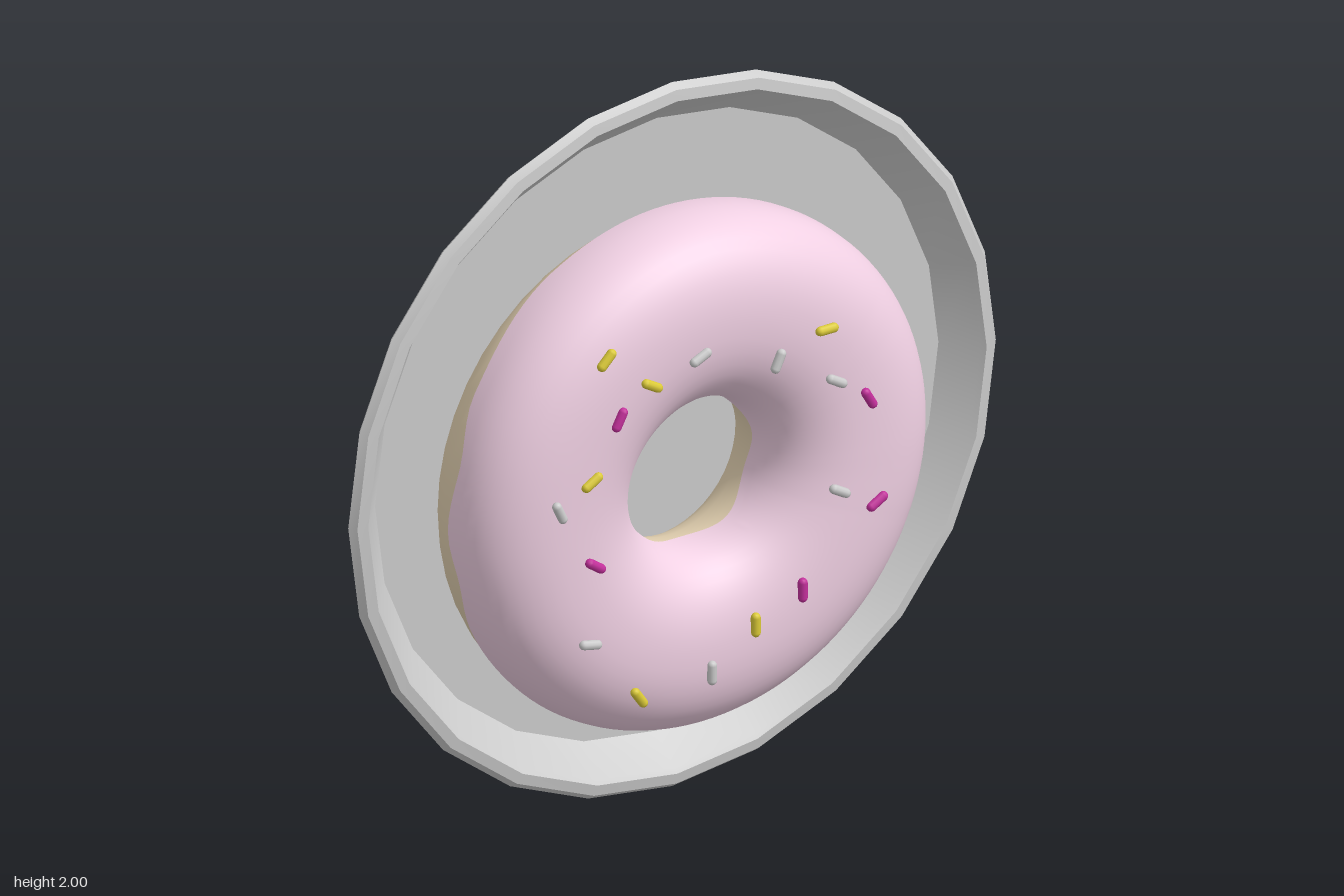
import * as THREE from 'three';
import { toCreasedNormals } from 'three/addons/utils/BufferGeometryUtils.js';

const CENTRE = [-0.065, 0.985, 0];
const RING = 0.46;

const mat = (color) => new THREE.MeshStandardMaterial({ color });

function addMesh(parent, name, geometry, material) {
  const mesh = new THREE.Mesh(geometry, material);
  mesh.name = name;
  parent.add(mesh);
  return mesh;
}

// Sweeps a cross-section [radius, z] around the z axis; section(theta) runs from the hole outwards
function sweep(section, segments) {
  const positions = [], indices = [];
  let n = 0;
  for (let i = 0; i < segments; i++) {
    const t = (i / segments) * Math.PI * 2;
    const points = section(t);
    n = points.length;
    for (const [r, z] of points) positions.push(r * Math.cos(t), r * Math.sin(t), z);
  }
  for (let i = 0; i < segments; i++) {
    const k = ((i + 1) % segments) * n;
    for (let j = 0; j < n - 1; j++) {
      const a = i * n + j, d = k + j;
      indices.push(a, a + 1, d + 1, a, d + 1, d);
    }
  }
  const g = new THREE.BufferGeometry();
  g.setAttribute('position', new THREE.Float32BufferAttribute(positions, 3));
  g.setIndex(indices);
  return toCreasedNormals(g, 0.8);
}

// Slightly squared oval tube section
const soft = (v) => Math.sign(v) * Math.abs(v) ** 0.87;
const oval = (phi, a, b) => [RING + a * soft(Math.cos(phi)), b * soft(Math.sin(phi))];
const angleAt = (z, b) => Math.asin(Math.sign(z) * Math.abs(z / b) ** 1.15);

// Height of the icing's outer drip edge by angle in degrees
const DRIPS = [
  [-78, 0.05], [-50, 0.03], [-26, 0.05], [-20, 0], [-13, 0.03], [-4.5, 0], [1, 0.02],
  [18, 0.03], [27, 0.02], [33, -0.01], [41, -0.04], [60, -0.06], [90, -0.07], [120, -0.06],
  [150, -0.02], [165, 0.02], [180, 0], [192, 0.03], [205, 0.01], [230, 0.03], [250, 0.04], [282, 0.05],
];

function dripEdge(theta) {
  let deg = THREE.MathUtils.radToDeg(theta);
  if (deg > 282) deg -= 360;
  const i = Math.max(1, DRIPS.findIndex((d) => d[0] >= deg));
  const [a, za] = DRIPS[i - 1], [b, zb] = DRIPS[i];
  return THREE.MathUtils.lerp(za, zb, THREE.MathUtils.smoothstep(deg, a, b));
}

function icingSection(theta) {
  const a = 0.255, b = 0.205, steps = 22;
  const outer = angleAt(dripEdge(theta), b);
  const inner = Math.PI - angleAt(0.02 + 0.015 * Math.sin(theta * 5), b);
  const points = [oval(inner, 0.235, 0.19)];
  for (let j = 0; j <= steps; j++) points.push(oval(THREE.MathUtils.lerp(inner, outer, j / steps), a, b));
  // Lip folding back onto the dough
  points.push(oval(outer, 0.235, 0.19));
  return points;
}

function doughSection() {
  const points = [];
  for (let j = 0; j <= 32; j++) points.push(oval(Math.PI - (j / 32) * Math.PI * 2, 0.243, 0.197));
  return points;
}

export function createModel() {
  const model = new THREE.Group();
  model.name = 'doughnutOnPlate';
  const grey = mat(0xcccccc);

  // Plate: dished rim with a flat foot behind
  const profile = [
    [0, -0.21], [0.9, -0.21], [0.985, -0.15], [1, -0.13], [0.985, -0.11],
    [0.955, -0.105], [0.945, -0.12], [0.87, -0.2], [0, -0.2],
  ].map(([r, z]) => new THREE.Vector2(r, z));
  const plate = new THREE.Group();
  plate.name = 'plate';
  plate.position.y = 1;
  model.add(plate);
  const dish = new THREE.LatheGeometry(profile, 24).rotateX(Math.PI / 2);
  addMesh(plate, 'plateDish', toCreasedNormals(dish, 0.6), grey);
  const foot = new THREE.CylinderGeometry(0.9, 0.9, 0.014, 64).rotateX(Math.PI / 2);
  addMesh(plate, 'plateFoot', foot, grey).position.z = -0.215;

  // Ring of dough with its icing
  const doughnut = new THREE.Group();
  doughnut.name = 'doughnut';
  doughnut.position.set(...CENTRE);
  model.add(doughnut);
  addMesh(doughnut, 'dough', sweep(doughSection, 48), mat(0xe2d0b0));
  addMesh(doughnut, 'icing', sweep(icingSection, 120), mat(0xf0d0e3));

  // Sprinkles: x, y, tilt in degrees, colour
  const Y = mat(0xdccb38), M = mat(0xc4309c), G = grey;
  const capsule = new THREE.CapsuleGeometry(0.013, 0.042, 4, 10).rotateZ(-Math.PI / 2);
  const sprinkles = new THREE.Group();
  sprinkles.name = 'sprinkles';
  model.add(sprinkles);
  [
    [-0.43, 1.46, 45, Y], [-0.29, 1.35, -30, Y], [-0.14, 1.39, 25, G], [-0.39, 1.28, 62, M],
    [0.1, 1.315, 65, G], [0.25, 1.365, 0, Y], [0.28, 1.21, -30, G], [0.38, 1.135, -60, M],
    [-0.475, 1.125, 30, Y], [-0.575, 1.065, -65, G], [-0.465, 0.885, -35, M], [0.29, 0.895, -30, G],
    [0.405, 0.835, 30, M], [-0.48, 0.665, -12, G], [0.175, 0.645, 90, M], [0.03, 0.585, 90, Y],
    [-0.105, 0.485, 90, G], [-0.33, 0.475, -55, Y],
  ].forEach(([x, y, tilt, material]) => {
    const s = addMesh(sprinkles, 'sprinkle', capsule, material);
    s.position.set(x, y, 0.209);
    s.rotation.z = THREE.MathUtils.degToRad(tilt);
  });

  return model;
}
